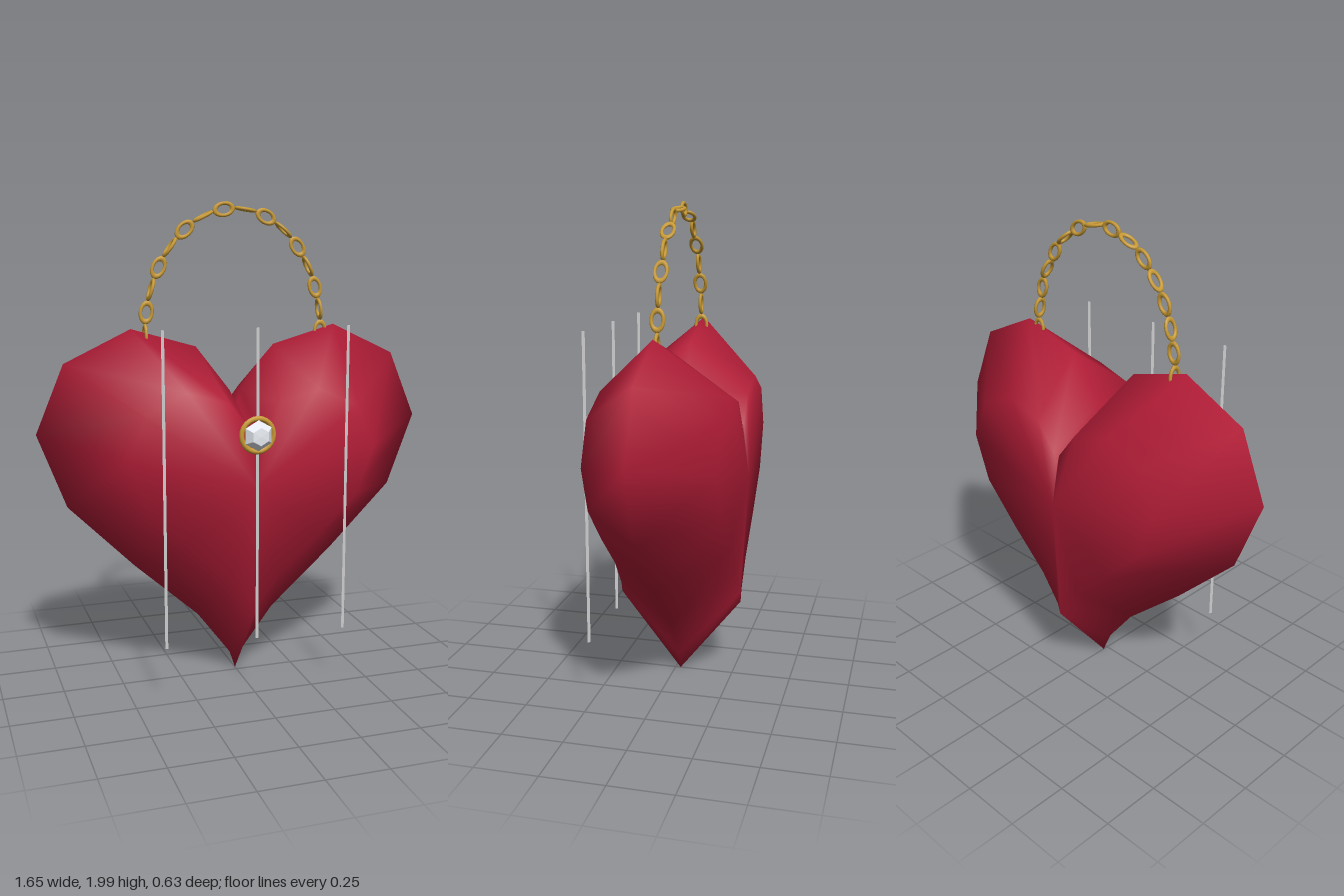
import * as THREE from 'three';

const RED = 0xb01c36, GOLD = 0xc89a35;
const mat = (color = 0xcccccc, flatShading = false) =>
  new THREE.MeshStandardMaterial({ color, flatShading });

function add(parent, name, geometry, material, x = 0, y = 0, z = 0) {
  const mesh = new THREE.Mesh(geometry, material);
  mesh.name = name;
  mesh.position.set(x, y, z);
  parent.add(mesh);
  return mesh;
}

// Heart curve sampled at t, centred on its own origin
function heart(t) {
  const s = 0.0515;
  return [
    16 * s * Math.sin(t) ** 3,
    s * (13 * Math.cos(t) - 5 * Math.cos(2 * t) - 2 * Math.cos(3 * t) - Math.cos(4 * t)),
  ];
}

// Puffed heart: scaled rings of the heart curve between two poles
function heartGeometry() {
  const n = 20;
  const rings = [[0.624, 0.262], [1, 0], [0.624, -0.262]]; // scale, z
  const pos = [0, 0, 0.29], index = [];
  for (const [k, z] of rings) {
    for (let i = 0; i < n; i++) {
      const [x, y] = heart((i / n) * Math.PI * 2);
      pos.push(x * k, y * k, z);
    }
  }
  pos.push(0, 0, -0.29);
  const last = 1 + rings.length * n;
  const at = (r, i) => 1 + r * n + (i % n);
  for (let i = 0; i < n; i++) {
    index.push(0, at(0, i + 1), at(0, i));
    for (let r = 0; r < rings.length - 1; r++) {
      index.push(at(r, i), at(r, i + 1), at(r + 1, i));
      index.push(at(r, i + 1), at(r + 1, i + 1), at(r + 1, i));
    }
    index.push(last, at(2, i), at(2, i + 1));
  }
  const g = new THREE.BufferGeometry();
  g.setAttribute('position', new THREE.Float32BufferAttribute(pos, 3));
  g.setIndex(index);
  g.computeVertexNormals();
  return g;
}

export function createModel() {
  const model = new THREE.Group();
  model.name = 'heartPurse';
  const gold = mat(GOLD);

  // Body
  add(model, 'heartBody', heartGeometry(), mat(RED), 0, 0.885, -0.022);

  // Chain handle: oval links spaced evenly along an arch, alternately turned
  const chain = new THREE.Group();
  chain.name = 'chainHandle';
  model.add(chain);
  const arch = new THREE.EllipseCurve(0, 1.47, 0.377, 0.5, 0, Math.PI);
  const link = new THREE.TorusGeometry(0.024, 0.007, 8, 16).scale(1, 1.55, 1);
  const count = 15;
  for (let i = 0; i <= count; i++) {
    const p = arch.getPointAt(i / count), d = arch.getTangentAt(i / count);
    const mesh = add(chain, 'chainLink', link, gold, p.x, p.y, -0.022);
    mesh.rotation.order = 'ZYX';
    mesh.rotation.z = Math.atan2(d.y, d.x) - Math.PI / 2;
    mesh.rotation.y = i % 2 ? Math.PI / 2 : 0;
  }

  // Clasp: gold ring around a faceted stone
  const clasp = new THREE.Group();
  clasp.name = 'clasp';
  clasp.position.set(0, 1.095, 0.27);
  model.add(clasp);
  add(clasp, 'claspRing', new THREE.TorusGeometry(0.066, 0.011, 8, 24), gold);
  const profile = [[0, -0.04], [0.035, -0.03], [0.062, 0.012], [0.036, 0.043], [0, 0.045]]
    .map(([r, h]) => new THREE.Vector2(r, h));
  const stone = new THREE.LatheGeometry(profile, 6, Math.PI / 6).rotateX(Math.PI / 2).rotateZ(Math.PI / 6);
  add(clasp, 'claspStone', stone, mat(0xe8ecf2, true));

  // Thin upright rods across the front
  const rod = new THREE.CylinderGeometry(0.007, 0.007, 1.26, 3).rotateY(Math.PI);
  for (const x of [-0.378, 0, 0.378]) add(model, 'frontRod', rod, mat(0xcccccc, true), x, 0.885, 0.268);

  return model;
}
